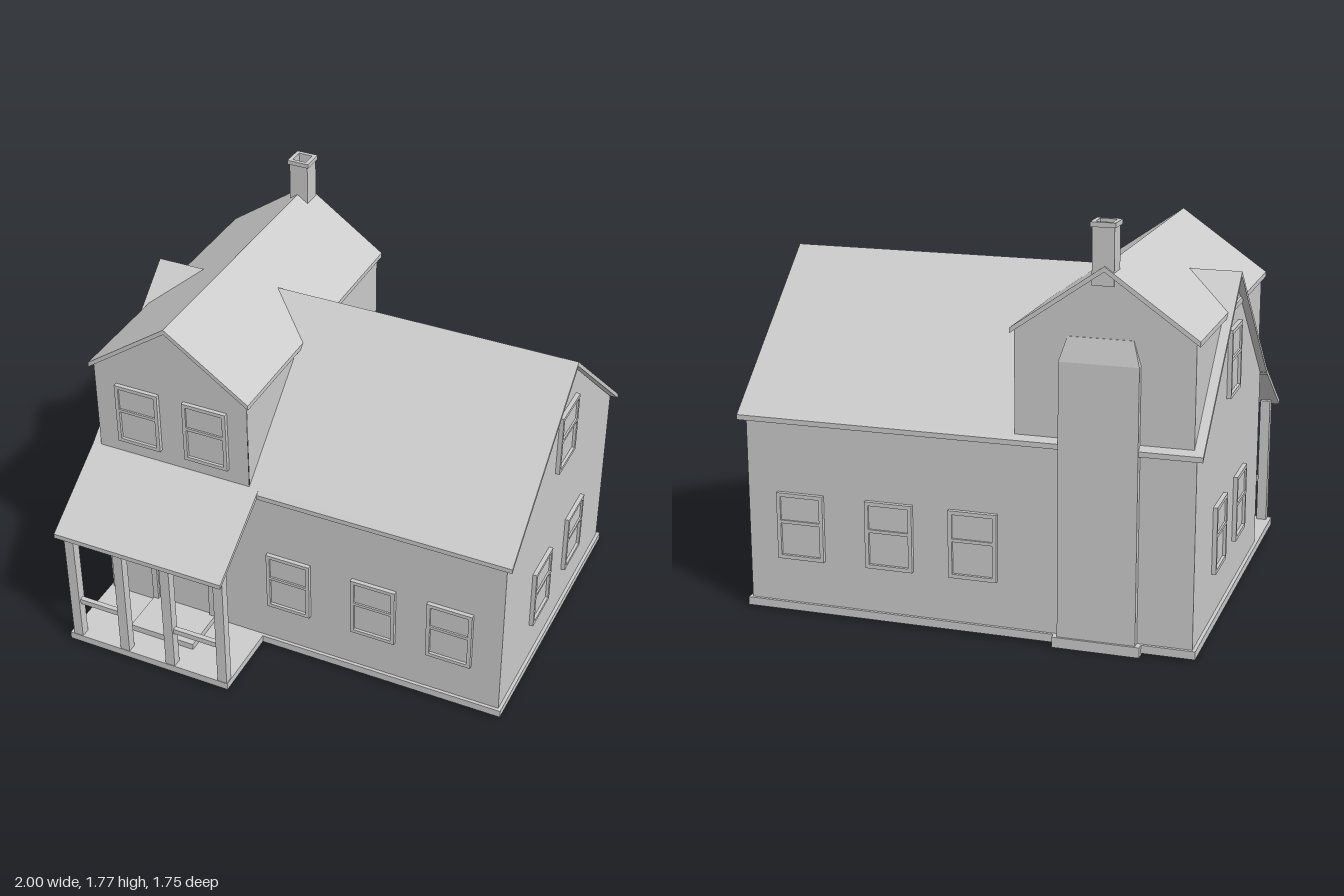
import * as THREE from 'three';

const mat = new THREE.MeshStandardMaterial({ color: 0xcccccc, flatShading: true });
const thin = new THREE.MeshStandardMaterial({ color: 0xcccccc, flatShading: true, side: THREE.DoubleSide });

// Main dimensions
const RIDGE_Z = -0.17, RIDGE_Y = 1.47, PITCH = 0.87;
const DORMER_X = -0.59, DORMER_Y = 1.6, DORMER_PITCH = 0.7;
const HALF_DEPTH = 0.665, WALL_X = 0.97, WALL_TOP = 0.865, T = 0.022;
const FRONT_Z = RIDGE_Z + HALF_DEPTH, BACK_Z = RIDGE_Z - HALF_DEPTH;

const poly = (pts) => new THREE.Shape(pts.map(([x, y]) => new THREE.Vector2(x, y)));
const rect = (x0, x1, y0, y1) => poly([[x0, y0], [x1, y0], [x1, y1], [x0, y1]]);

export function createModel() {
  const house = new THREE.Group();
  house.name = 'house';

  function add(name, geometry, material = mat, parent = house) {
    const mesh = new THREE.Mesh(geometry, material);
    mesh.name = name;
    parent.add(mesh);
    return mesh;
  }
  function box(name, x0, x1, y0, y1, z0, z1, parent = house) {
    const g = new THREE.BoxGeometry(x1 - x0, y1 - y0, z1 - z0);
    g.translate((x0 + x1) / 2, (y0 + y1) / 2, (z0 + z1) / 2);
    return add(name, g, mat, parent);
  }
  // Plan outline [x, z] raised to a height, then sheared by a slope rule
  function slab(name, shape, y, depth, rise = () => 0) {
    const g = new THREE.ExtrudeGeometry(shape, { depth, bevelEnabled: false });
    g.rotateX(-Math.PI / 2);
    g.translate(0, y, 0);
    const p = g.attributes.position;
    for (let i = 0; i < p.count; i++) p.setY(i, p.getY(i) + rise(p.getX(i), p.getZ(i)));
    g.computeVertexNormals();
    return add(name, g, thin);
  }
  const plan = (pts) => poly(pts.map(([x, z]) => [x, -z]));
  // Thin walls: outlines in [x, y] or [z, y]
  const wallZ = (name, shape, z) => add(name, new THREE.ShapeGeometry(shape).translate(0, 0, z), thin);
  const wallX = (name, shape, x) =>
    add(name, new THREE.ShapeGeometry(shape).rotateY(-Math.PI / 2).translate(x, 0, 0), thin);

  // Main walls
  wallZ('frontWall', rect(-WALL_X, WALL_X, 0.01, WALL_TOP), FRONT_Z);
  wallZ('backWall', rect(-WALL_X, WALL_X, 0.01, WALL_TOP), BACK_Z);
  for (const s of [-1, 1]) {
    wallX(s > 0 ? 'leftGableWall' : 'rightGableWall', poly([
      [BACK_Z, 0.01], [FRONT_Z, 0.01], [FRONT_Z, WALL_TOP],
      [RIDGE_Z, RIDGE_Y - T], [BACK_Z, WALL_TOP]]), s * WALL_X);
  }

  // Foundation skirt, open in the middle
  const skirt = plan([[-0.985, 0.51], [0.985, 0.51], [0.985, -0.848], [-0.985, -0.848]]);
  skirt.holes.push(plan([[-0.965, 0.49], [0.965, 0.49], [0.965, -0.83], [-0.965, -0.83]]));
  slab('foundation', skirt, 0.01, 0.035);

  // Main roof slopes, notched where the cross gable opens through
  const notchTop = (DORMER_Y - RIDGE_Y) / DORMER_PITCH;
  const notchEave = 0.37;
  const notchDrop = (RIDGE_Y - (DORMER_Y - notchEave * DORMER_PITCH)) / PITCH;
  for (const s of [-1, 1]) {
    const z = (d) => RIDGE_Z + s * d;
    slab(s > 0 ? 'frontRoof' : 'backRoof', plan([
      [-1, z(0)], [-1, z(0.692)], [1, z(0.692)], [1, z(0)],
      [DORMER_X + notchTop, z(0)], [DORMER_X + notchEave, z(notchDrop)], [DORMER_X + notchEave, z(HALF_DEPTH)],
      [DORMER_X - notchEave, z(HALF_DEPTH)], [DORMER_X - notchEave, z(notchDrop)], [DORMER_X - notchTop, z(0)],
    ]), RIDGE_Y - T, T, (x, zz) => -Math.abs(zz - RIDGE_Z) * PITCH);
  }

  // Cross gable: end walls, triangular cheeks and roof
  const eaveY = DORMER_Y - T - 0.37 * DORMER_PITCH;
  const gable = poly([[DORMER_X - 0.37, 0.86], [DORMER_X + 0.37, 0.86], [DORMER_X + 0.37, eaveY],
    [DORMER_X, DORMER_Y - T], [DORMER_X - 0.37, eaveY]]);
  wallZ('crossGableFront', gable, FRONT_Z + 0.006);
  wallZ('crossGableBack', gable, BACK_Z - 0.004);
  for (const s of [-1, 1]) {
    for (const f of [-1, 1]) {
      const z = (d) => RIDGE_Z + f * d;
      wallX('crossGableCheek', poly([[z(0.669), 0.86], [z(0.669), eaveY], [z(notchDrop), eaveY]]),
        DORMER_X + s * 0.37);
    }
    slab('crossGableRoof', plan([[DORMER_X, 0.52], [DORMER_X + s * 0.387, 0.52],
      [DORMER_X + s * 0.387, -0.855], [DORMER_X, -0.855]]), DORMER_Y - T, T,
    (x) => -Math.abs(x - DORMER_X) * DORMER_PITCH);
  }

  // Sash windows: trim, two lights and a pane
  function windowAt(x, y, z, turn) {
    const g = new THREE.Group();
    g.name = 'window';
    const frame = rect(-0.105, 0.105, -0.147, 0.147);
    frame.holes.push(rect(-0.088, 0.088, 0.026, 0.13), rect(-0.088, 0.088, -0.13, 0.012));
    add('windowFrame', new THREE.ExtrudeGeometry(frame, { depth: 0.022, bevelEnabled: false }).translate(0, 0, -0.003), mat, g);
    box('upperPane', -0.09, 0.09, 0.02, 0.132, -0.003, 0.011, g);
    box('lowerPane', -0.09, 0.09, -0.132, 0.02, -0.003, 0.006, g);
    g.position.set(x, y, z);
    g.rotation.y = turn;
    house.add(g);
  }
  for (const x of [-0.04, 0.37, 0.73]) windowAt(x, 0.39, FRONT_Z, 0);
  for (const x of [-0.04, 0.33, 0.73]) windowAt(x, 0.39, BACK_Z, Math.PI);
  for (const x of [-0.75, -0.42]) windowAt(x, 1.098, FRONT_Z + 0.006, 0);
  for (const s of [-1, 1]) {
    for (const [z, y] of [[0.037, 0.39], [-0.385, 0.39], [RIDGE_Z, 1.093]]) windowAt(s * WALL_X, y, z, s * Math.PI / 2);
  }

  // Front door with surround
  const surround = poly([[-0.742, 0.045], [-0.715, 0.045], [-0.715, 0.515], [-0.447, 0.515],
    [-0.447, 0.045], [-0.42, 0.045], [-0.42, 0.54], [-0.742, 0.54]]);
  add('doorFrame', new THREE.ExtrudeGeometry(surround, { depth: 0.02, bevelEnabled: false }).translate(0, 0, FRONT_Z));
  box('door', -0.715, -0.447, 0.045, 0.515, FRONT_Z - 0.003, FRONT_Z + 0.008);

  // Porch: deck, step, posts, rails and lean-to roof
  box('porchDeck', -0.985, -0.175, 0.01, 0.045, FRONT_Z + 0.005, 0.857);
  box('doorStep', -0.74, -0.42, 0.045, 0.075, FRONT_Z, 0.725);
  const posts = [-0.943, -0.698, -0.465, -0.202];
  for (const x of posts) box('porchPost', x - 0.023, x + 0.023, 0.045, 0.64, 0.812, 0.855);
  for (const i of [0, 2]) box('porchRail', posts[i] + 0.02, posts[i + 1] - 0.02, 0.232, 0.258, 0.822, 0.845);
  slab('porchRoof', plan([[-1, 0.497], [-1, 0.877], [-0.175, 0.877], [-0.175, 0.497]]),
    0.888 - T, T, (x, z) => -(z - 0.497) * 0.67);

  // Chimney breast on the back wall, shouldered at the top
  box('chimneyBase', -0.76, -0.39, 0, 0.045, -0.877, -0.79);
  box('chimneyBreast', -0.74, -0.41, 0.04, 1.21, -0.867, BACK_Z);
  const shoulder = new THREE.BoxGeometry(0.33, 0.1, 0.032).translate(-0.575, 1.26, -0.851);
  const sp = shoulder.attributes.position;
  for (let i = 0; i < sp.count; i++) {
    if (sp.getY(i) < 1.25) continue;
    sp.setX(i, -0.575 + Math.sign(sp.getX(i) + 0.575) * 0.135);
    if (sp.getZ(i) < -0.85) sp.setZ(i, -0.842);
  }
  shoulder.computeVertexNormals();
  add('chimneyShoulder', shoulder);

  // Hollow chimney stack with a rim
  for (const [name, r, y, h] of [['chimneyStack', 0.045, 1.52, 0.24], ['chimneyRim', 0.052, 1.752, 0.02]]) {
    const square = (q) => plan([[-0.583 - q, -0.8 + q], [-0.583 + q, -0.8 + q], [-0.583 + q, -0.8 - q], [-0.583 - q, -0.8 - q]]);
    const ring = square(r);
    ring.holes.push(square(0.034));
    slab(name, ring, y, h);
  }
  return house;
}
